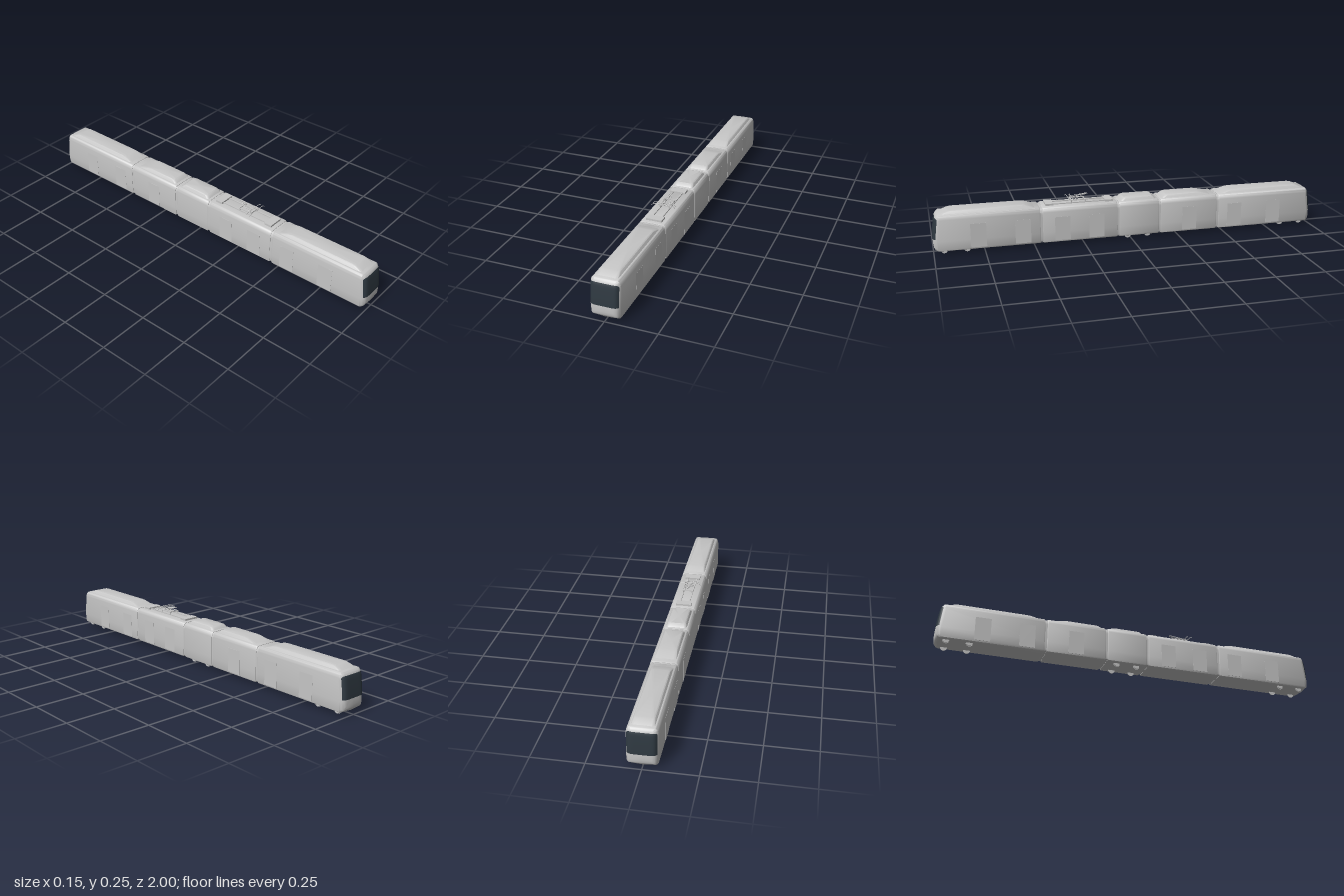
import * as THREE from 'three';
import { toCreasedNormals } from 'three/addons/utils/BufferGeometryUtils.js';

const V = (x, y, z) => new THREE.Vector3(x, y, z);

// Skin a stack of closed rings and cap both ends.
function loft(rings, crease = 0.6) {
  const n = rings[0].length, pos = [], idx = [];
  rings.forEach(r => r.forEach(p => pos.push(p.x, p.y, p.z)));
  for (let i = 0; i < rings.length - 1; i++) {
    for (let j = 0; j < n; j++) {
      const k = (j + 1) % n, a = i * n + j, b = i * n + k;
      idx.push(a, b, b + n, a, b + n, a + n);
    }
  }
  [0, rings.length - 1].forEach((i, end) => {
    const c = rings[i].reduce((s, p) => s.add(p), V(0, 0, 0)).divideScalar(n);
    const m = pos.length / 3;
    pos.push(c.x, c.y, c.z);
    for (let j = 0; j < n; j++) {
      const a = i * n + j, b = i * n + (j + 1) % n;
      idx.push(...(end ? [a, b, m] : [b, a, m]));
    }
  });
  const g = new THREE.BufferGeometry();
  g.setAttribute('position', new THREE.Float32BufferAttribute(pos, 3));
  g.setIndex(idx);
  return toCreasedNormals(g, crease);
}

// Body cross-section, anticlockwise from the bottom centre.
const half = [[0, 0.018], [0.064, 0.018], [0.069, 0.021], [0.071, 0.028], [0.072, 0.07]];
for (let i = 0; i <= 7; i++) {
  const a = (i / 7) * Math.PI / 2;
  half.push([0.052 + 0.02 * Math.cos(a), 0.17 + 0.032 * Math.sin(a)]);
}
half.push([0, 0.203]);
const outline = [...half, ...half.slice(1, -1).reverse().map(([x, y]) => [-x, y])];
const section = (s, zAt) => outline.map(([px, py]) => {
  const x = px * s, y = 0.11 + (py - 0.11) * s;
  return V(x, y, zAt(x, y));
});

// Cab front: leans back above the waist and rounds off at its edges.
const noseZ = (x, y) => 1
  - 0.016 * Math.pow(Math.max(0, (y - 0.07) / 0.13), 1.3)
  - 0.024 * Math.pow(Math.abs(x) / 0.072, 8)
  - 0.016 * Math.pow(Math.abs(y - 0.11) / 0.093, 10);

export function createModel() {
  const tram = new THREE.Group();
  tram.name = 'tram';
  const grey = new THREE.MeshStandardMaterial({ color: 0xc6c6c6 });
  grey.name = 'light grey';
  const glass = new THREE.MeshStandardMaterial({ color: 0x2e3840 });
  glass.name = 'dark glass';

  const add = (parent, name, geo, mat = grey) => {
    const m = new THREE.Mesh(geo, mat);
    m.name = name;
    parent.add(m);
    return m;
  };
  const box = (parent, name, w, h, d, x, y, z) =>
    add(parent, name, new THREE.BoxGeometry(w, h, d)).position.set(x, y, z);
  const bar = (parent, name, a, b, r = 0.0015) => {
    const m = add(parent, name, new THREE.CylinderGeometry(r, r, a.distanceTo(b), 6));
    m.position.copy(a).lerp(b, 0.5);
    m.quaternion.setFromUnitVectors(V(0, 1, 0), b.clone().sub(a).normalize());
  };

  // Roof fairing with sloping sides; top0 and top1 bound its flat top.
  const roofPod = (parent, z0, z1, top0, top1) => {
    const ring = (w, y, a, b) => {
      const r = 0.014, pts = [];
      [[1, -1], [-1, -1], [-1, 1], [1, 1]].forEach(([sx, sz], q) => {
        for (let i = 0; i <= 4; i++) {
          const t = (q + i / 4) * Math.PI / 2;
          const cz = sz < 0 ? a + r : b - r;
          pts.push(V(sx * (w - r) + r * Math.cos(t), y, cz - r * Math.sin(t)));
        }
      });
      return pts;
    };
    const m = (a, b, t) => a + (b - a) * t;
    add(parent, 'roofPod', loft([
      ring(0.055, 0.196, z0, z1),
      ring(0.052, 0.203, m(z0, top0, 0.2), m(z1, top1, 0.2)),
      ring(0.046, 0.215, m(z0, top0, 0.8), m(z1, top1, 0.8)),
      ring(0.041, 0.218, top0, top1)], 0.5));
  };

  // Door leaves on both sides
  const doors = (parent, ...zs) => zs.forEach(z => [-1, 1].forEach(s =>
    box(parent, 'door', 0.003, 0.122, 0.078, s * 0.0711, 0.089, z)));

  const wheels = (parent, ...zs) => zs.forEach(z => [-1, 1].forEach(s => {
    const tread = add(parent, 'wheel', new THREE.CylinderGeometry(0.015, 0.015, 0.007, 24));
    tread.rotation.z = Math.PI / 2;
    tread.position.set(s * 0.0465, 0.017, z);
    const flange = add(parent, 'wheelFlange', new THREE.CylinderGeometry(0.017, 0.017, 0.002, 24));
    flange.rotation.z = Math.PI / 2;
    flange.position.set(s * 0.0435, 0.017, z);
  }));

  // End cars with cabs; the rear one is turned round.
  [0, Math.PI].forEach((turn, i) => {
    const car = new THREE.Group();
    car.name = i ? 'rearCar' : 'frontCar';
    car.rotation.y = turn;
    tram.add(car);
    const rings = [section(0.97, () => 0.472), section(1, () => 0.477)];
    [1, 0.985, 0.96, 0.93, 0.88, 0.8, 0.65, 0.4, 0.1].forEach(s => rings.push(section(s, noseZ)));
    add(car, 'cabBody', loft(rings));

    // Windscreen wraps the cab front, with rounded upper corners
    const screen = new THREE.PlaneGeometry(2, 1, 28, 24);
    const p = screen.attributes.position;
    for (let k = 0; k < p.count; k++) {
      const y = 0.08 + 0.106 * (p.getY(k) + 0.5);
      const c = Math.max(0, y - 0.174);
      const w = 0.067 - (0.012 - Math.sqrt(Math.max(0, 0.012 ** 2 - c * c)));
      const x = p.getX(k) * w;
      p.setXYZ(k, x, y, noseZ(x, y) + 0.002);
    }
    screen.computeVertexNormals();
    add(car, 'windscreen', screen, glass);
    roofPod(car, 0.485, 0.965, 0.55, 0.915);
    doors(car, 0.78, 0.56);
    wheels(car, 0.948, 0.836);
  });

  // Middle cars
  const middle = (name, z0, z1) => {
    const car = new THREE.Group();
    car.name = name;
    tram.add(car);
    add(car, 'carBody', loft([
      section(0.97, () => z0), section(1, () => z0 + 0.005),
      section(1, () => z1 - 0.005), section(0.97, () => z1)]));
    return car;
  };
  const powerCar = middle('pantographCar', 0.075, 0.46);
  doors(powerCar, 0.36, 0.185);
  const shortCar = middle('shortCar', -0.145, 0.065);
  roofPod(shortCar, -0.138, 0.057, -0.115, 0.035);
  wheels(shortCar, 0.015, -0.09);
  const longCar = middle('rearMiddleCar', -0.46, -0.155);
  roofPod(longCar, -0.445, -0.163, -0.365, -0.19);
  doors(longCar, -0.31);

  // Gangway bellows between the cars
  [0.466, 0.07, -0.15, -0.466].forEach(z => add(tram, 'gangway', loft([
    section(0.95, () => z - 0.012), section(0.95, () => z + 0.012)])));

  // Roof equipment
  [0.42, 0.113].forEach(z => box(powerCar, 'roofBox', 0.08, 0.012, 0.04, 0, 0.206, z));
  [-1, 1].forEach(s => box(powerCar, 'roofRail', 0.006, 0.005, 0.27, s * 0.024, 0.205, 0.266));

  // Folded pantograph
  const panto = new THREE.Group();
  panto.name = 'pantograph';
  powerCar.add(panto);
  [0.235, 0.305].forEach(z => {
    box(panto, 'baseCrossbar', 0.058, 0.004, 0.005, 0, 0.219, z);
    [-1, 1].forEach(s => bar(panto, 'insulator', V(s * 0.024, 0.205, z), V(s * 0.024, 0.219, z), 0.003));
  });
  [-1, 1].forEach(s => {
    box(panto, 'baseSidebar', 0.004, 0.004, 0.07, s * 0.027, 0.219, 0.27);
    bar(panto, 'lowerArm', V(s * 0.024, 0.22, 0.3), V(s * 0.004, 0.244, 0.22));
    bar(panto, 'upperArm', V(s * 0.004, 0.244, 0.22), V(s * 0.012, 0.23, 0.31));
  });
  bar(panto, 'kneeJoint', V(-0.007, 0.243, 0.22), V(0.007, 0.243, 0.22), 0.002);
  [0.302, 0.322].forEach(z => {
    const path = new THREE.CatmullRomCurve3([
      V(-0.06, 0.221, z), V(-0.052, 0.229, z), V(-0.04, 0.231, z),
      V(0.04, 0.231, z), V(0.052, 0.229, z), V(0.06, 0.221, z)]);
    add(panto, 'contactBow', new THREE.TubeGeometry(path, 32, 0.0016, 6));
  });
  [-1, 1].forEach(s => bar(panto, 'bowLink', V(s * 0.012, 0.23, 0.302), V(s * 0.012, 0.23, 0.322)));
  return tram;
}
